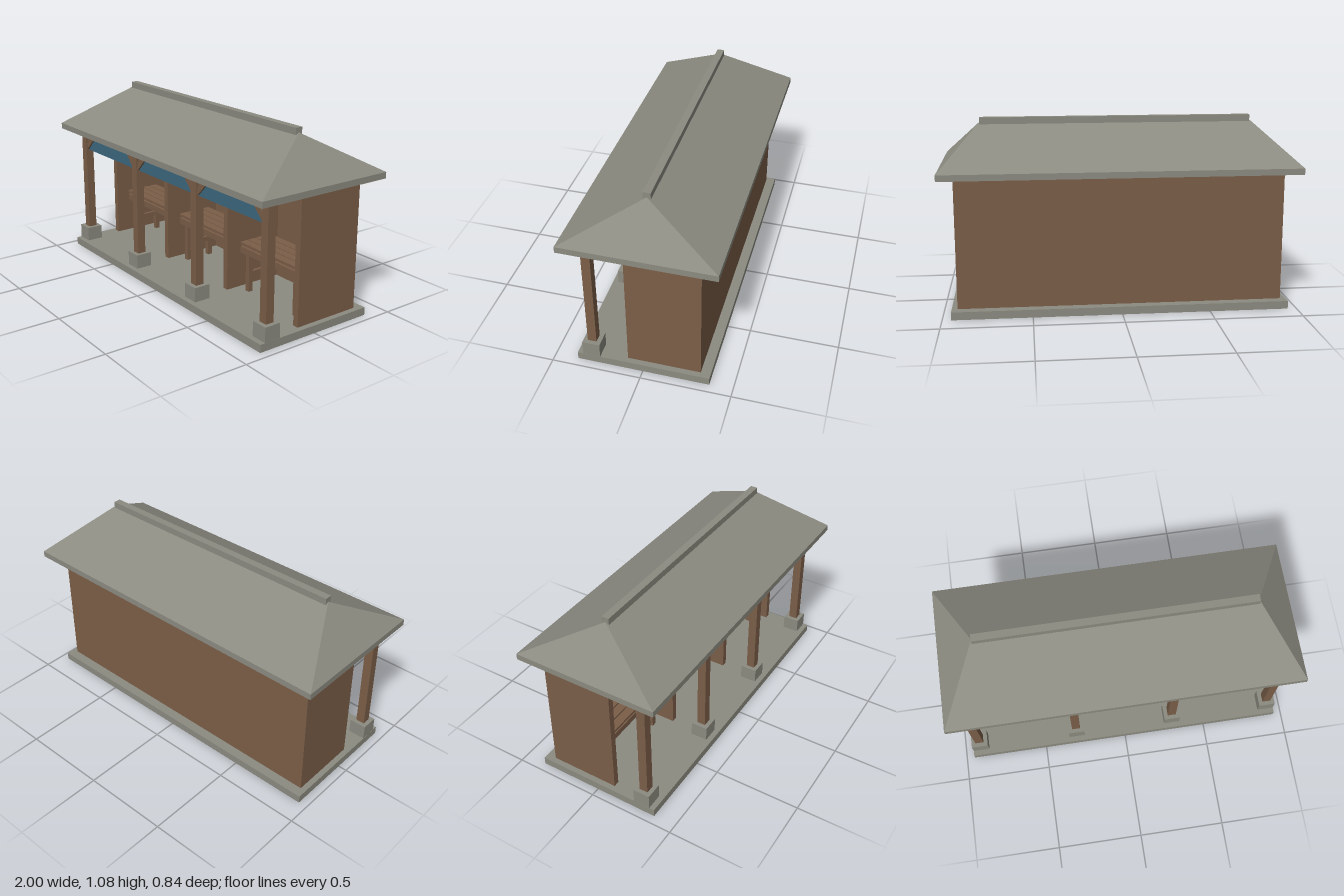
import * as THREE from 'three';

const material = (name, color) => {
  const m = new THREE.MeshStandardMaterial({ color });
  m.name = name;
  return m;
};

export function createModel() {
  const stone = material('greyStone', 0x8b8b81);
  const wood = material('brownWood', 0x7b5e48);
  const cloth = material('blueCloth', 0x3c687f);
  const model = new THREE.Group();
  model.name = 'marketShelter';

  // Box given by its low and high limits on each axis
  const box = (parent, name, mat, [x0, x1], [y0, y1], [z0, z1]) => {
    const mesh = new THREE.Mesh(new THREE.BoxGeometry(x1 - x0, y1 - y0, z1 - z0), mat);
    mesh.position.set((x0 + x1) / 2, (y0 + y1) / 2, (z0 + z1) / 2);
    mesh.name = name;
    parent.add(mesh);
    return mesh;
  };
  const around = (c, half) => [c - half, c + half];

  // Floor slab
  box(model, 'floor', stone, [-0.95, 0.95], [0, 0.045], [-0.37, 0.37]);

  // Back wall, end walls and partitions, with a post in front of each
  box(model, 'backWall', wood, [-0.9175, 0.9175], [0.045, 0.785], [-0.315, -0.28]);
  for (const x of [-0.9, -0.3, 0.3, 0.9]) {
    box(model, 'partition', wood, around(x, 0.0175), [0.045, 0.785], [-0.28, 0.092]);
    box(model, 'postFooting', stone, around(x, 0.049), [0.045, 0.13], around(0.29, 0.049));
    box(model, 'post', wood, around(x, 0.025), [0.13, 0.755], around(0.29, 0.025));
  }
  box(model, 'frontBeam', wood, [-0.935, 0.935], [0.755, 0.785], around(0.29, 0.028));

  // Diagonal brace from post (at x = 0) up to the beam
  const braceShape = new THREE.Shape([
    [0, 0.655], [0.08, 0.735], [0.08, 0.755], [0.05, 0.755], [0, 0.7],
  ].map(([x, y]) => new THREE.Vector2(x, y)));
  const braceGeometry = new THREE.ExtrudeGeometry(braceShape, { depth: 0.03, bevelEnabled: false });
  braceGeometry.translate(0, 0, -0.015);

  // Bench: planks on battens, a front and back apron, and braced legs
  const addBench = (x) => {
    const bench = new THREE.Group();
    bench.name = 'bench';
    bench.position.x = x;
    const span = [-0.245, 0.245];
    for (let i = 0; i < 4; i++) {
      const z = -0.19 + i * 0.056;
      box(bench, 'plank', wood, span, [0.322, 0.336], [z, z + 0.05]);
    }
    box(bench, 'frontApron', wood, span, [0.273, 0.31], [0.012, 0.028]);
    box(bench, 'backApron', wood, span, [0.273, 0.31], [-0.19, -0.174]);
    for (const side of [-0.2, 0.2]) {
      box(bench, 'batten', wood, around(side, 0.014), [0.29, 0.322], [-0.174, 0.012]);
      box(bench, 'stretcher', wood, around(side, 0.01), [0.135, 0.165], [-0.16, 0]);
      for (const z of [-0.16, -0.002]) {
        box(bench, 'leg', wood, around(side, 0.014), [0.045, 0.29], around(z, 0.014));
      }
    }
    model.add(bench);
  };

  // Three bays, each with a bench, a hanging valance and two braces
  for (const x of [-0.6, 0, 0.6]) {
    addBench(x);
    box(model, 'valance', cloth, around(x, 0.275), [0.65, 0.755], around(0.29, 0.004));
    for (const side of [-1, 1]) {
      const brace = new THREE.Mesh(braceGeometry, wood);
      brace.name = 'brace';
      brace.position.set(x + side * 0.275, 0, 0.29);
      if (side > 0) brace.rotation.y = Math.PI;
      model.add(brace);
    }
  }

  // Hipped roof: eaves slab, sloping faces drawn in to a ridge, ridge cap
  box(model, 'eaves', stone, [-1, 1], [0.785, 0.82], [-0.418, 0.418]);
  const hip = box(model, 'hippedRoof', stone, [-1, 1], [0.82, 1.048], [-0.418, 0.418]);
  const p = hip.geometry.attributes.position;
  for (let i = 0; i < p.count; i++) {
    if (p.getY(i) > 0) p.setXYZ(i, Math.sign(p.getX(i)) * 0.78, p.getY(i), 0);
  }
  hip.geometry.computeVertexNormals();
  box(model, 'ridgeCap', stone, [-0.78, 0.78], [1.037, 1.075], [-0.021, 0.021]);

  return model;
}
